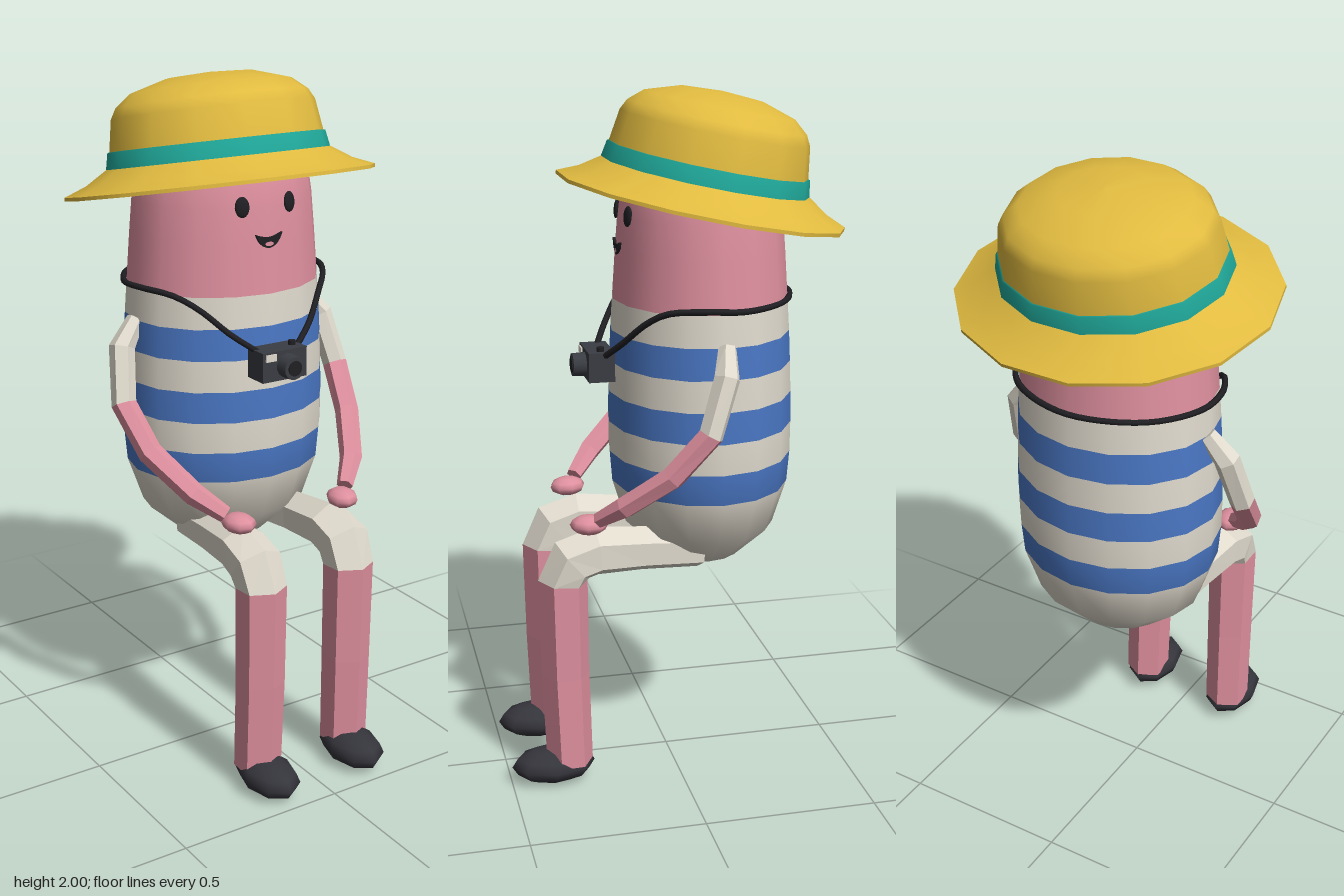
import * as THREE from 'three';

const mat = (name, color) => Object.assign(new THREE.MeshStandardMaterial({ color }), { name });
const skin = mat('pink skin', 0xdf909f);
const cloth = mat('off-white cloth', 0xe0dacd);
const blue = mat('blue stripe', 0x4a77c4);
const straw = mat('yellow straw', 0xe1bb40);
const teal = mat('teal ribbon', 0x1fa597);
const shoe = mat('dark shoe', 0x35353c);
const ink = mat('black', 0x202024);
const cameraGrey = mat('camera grey', 0x3a3d43);

const vec2 = (list) => list.map(([x, y]) => new THREE.Vector2(x, y));
const vec3 = (list) => list.map((p) => new THREE.Vector3(...p));

function add(parent, name, geometry, material, position = [0, 0, 0]) {
  const mesh = new THREE.Mesh(geometry, material);
  mesh.name = name;
  mesh.position.set(...position);
  parent.add(mesh);
  return mesh;
}

// Lathe with one material index per profile row
function bandedLathe(profile, rows, sides) {
  const g = new THREE.LatheGeometry(vec2(profile), sides);
  const old = g.index.array, n = profile.length - 1, index = [];
  for (let j = 0; j < n; j++) {
    g.addGroup(j * sides * 6, sides * 6, rows[j]);
    for (let i = 0; i < sides; i++) {
      const s = (i * n + j) * 6;
      index.push(...old.slice(s, s + 6));
    }
  }
  g.setIndex(index);
  return g;
}

// Faceted six-sided limb; rows before `split` use material 0, the rest material 1
function limbGeometry(path, radii, split) {
  const sides = 6, pts = vec3(path), last = pts.length - 1, pos = [], index = [];
  pts.forEach((p, i) => {
    const t = pts[Math.min(i + 1, last)].clone().sub(pts[Math.max(i - 1, 0)]).normalize();
    const u = new THREE.Vector3(1, 0, 0).addScaledVector(t, -t.x).normalize();
    const v = t.clone().cross(u);
    for (let k = 0; k < sides; k++) {
      const a = Math.PI / 2 + (k * Math.PI * 2) / sides;
      const q = p.clone().addScaledVector(u, radii[i] * Math.cos(a)).addScaledVector(v, radii[i] * Math.sin(a));
      pos.push(q.x, q.y, q.z);
    }
  });
  const start = pos.length / 3;
  pos.push(...path[0], ...path[last]);
  for (let k = 0; k < sides; k++) index.push(start, (k + 1) % sides, k);
  let splitAt = 0;
  for (let i = 0; i < last; i++) {
    if (i === split) splitAt = index.length;
    for (let k = 0; k < sides; k++) {
      const a = i * sides + k, b = i * sides + ((k + 1) % sides);
      index.push(a, b, b + sides, a, b + sides, a + sides);
    }
  }
  for (let k = 0; k < sides; k++) index.push(start + 1, last * sides + k, last * sides + ((k + 1) % sides));
  const g = new THREE.BufferGeometry();
  g.setAttribute('position', new THREE.Float32BufferAttribute(pos, 3));
  g.setIndex(index);
  const flat = g.toNonIndexed();
  flat.computeVertexNormals();
  flat.addGroup(0, splitAt, 0);
  flat.addGroup(splitAt, index.length - splitAt, 1);
  return flat;
}

function ellipsoid(x, y, z, w = 8, h = 6) {
  return new THREE.SphereGeometry(1, w, h).scale(x, y, z);
}

function createBody(model) {
  const profile = [[0, 0.61], [0.14, 0.645], [0.25, 0.74], [0.295, 0.87], [0.303, 0.96], [0.304, 1.05],
    [0.302, 1.14], [0.298, 1.23], [0.293, 1.32], [0.286, 1.41], [0.275, 1.55], [0.266, 1.65],
    [0.25, 1.75], [0.2, 1.85], [0, 1.89]];
  const rows = [0, 0, 0, 1, 0, 1, 0, 1, 0, 2, 2, 2, 2, 2];
  const body = add(model, 'body', bandedLathe(profile, rows, 16), [cloth, blue, skin], [0, 0, -0.097]);
  body.scale.z = 0.875;
}

function createFace(model) {
  const face = new THREE.Group();
  face.name = 'face';
  for (const s of [1, -1]) {
    const eye = add(face, 'eye', ellipsoid(0.021, 0.029, 0.008, 12, 8), ink, [s * 0.077, 1.655, 0.126]);
    eye.rotation.set(-0.1, s * 0.27, 0);
    const brow = add(face, 'eyebrow', new THREE.BoxGeometry(0.07, 0.012, 0.009), ink, [s * 0.07, 1.735, 0.116]);
    brow.rotation.set(0, s * 0.25, s * 0.22);
  }
  // Smiling mouth
  const smile = new THREE.Shape();
  smile.moveTo(-0.043, 1.578);
  smile.quadraticCurveTo(0, 1.558, 0.043, 1.578);
  smile.quadraticCurveTo(0.03, 1.54, 0, 1.537);
  smile.quadraticCurveTo(-0.03, 1.54, -0.043, 1.578);
  add(face, 'mouth', new THREE.ExtrudeGeometry(smile, { depth: 0.008, bevelEnabled: false }), ink, [0, 0, 0.137]);
  add(face, 'tongue', new THREE.CircleGeometry(0.009, 10).scale(1.6, 0.7, 1), skin, [0, 1.549, 0.146]);
  model.add(face);
}

function createHat(model) {
  const hat = new THREE.Group();
  hat.name = 'sunHat';
  const part = (name, profile, material) =>
    add(hat, name, new THREE.LatheGeometry(vec2(profile), 14, Math.PI / 14), material);
  part('brimUnderside', [[0.23, 0.055], [0.33, 0.045], [0.455, -0.005]], straw);
  part('brimEdge', [[0.455, -0.005], [0.455, 0.005]], straw);
  part('brimTop', [[0.455, 0.005], [0.39, 0.03], [0.325, 0.07]], straw);
  part('hatBand', [[0.328, 0.066], [0.318, 0.115], [0.308, 0.117]], teal);
  part('crown', [[0.313, 0.112], [0.297, 0.205], [0.28, 0.235], [0.235, 0.27], [0.13, 0.3], [0, 0.308]], straw);
  hat.position.set(0, 1.68, -0.1);
  hat.rotation.x = -0.2;
  hat.scale.z = 0.907;
  model.add(hat);
}

function createCamera(model) {
  const cam = new THREE.Group();
  cam.name = 'camera';
  add(cam, 'cameraBody', new THREE.BoxGeometry(0.145, 0.085, 0.075), cameraGrey, [-0.008, 1.227, 0.2]);
  add(cam, 'lensBarrel', new THREE.CylinderGeometry(0.033, 0.035, 0.04, 14).rotateX(Math.PI / 2), cameraGrey, [0, 1.225, 0.255]);
  add(cam, 'lensGlass', new THREE.CylinderGeometry(0.022, 0.022, 0.004, 14).rotateX(Math.PI / 2), ink, [0, 1.225, 0.276]);
  add(cam, 'flash', new THREE.BoxGeometry(0.034, 0.02, 0.006), cloth, [-0.055, 1.254, 0.239]);
  add(cam, 'shutterButton', new THREE.CylinderGeometry(0.011, 0.011, 0.014, 8), ink, [0.04, 1.275, 0.2]);
  // Neck strap, one closed run from side to side
  const half = [[0.066, 1.262, 0.19], [0.13, 1.31, 0.155], [0.2, 1.38, 0.1], [0.25, 1.415, 0.05],
    [0.297, 1.425, -0.05], [0.293, 1.42, -0.15], [0.2, 1.42, -0.285]];
  const other = half.map(([x, y, z]) => [-x, y, z]).reverse();
  const curve = new THREE.CatmullRomCurve3(vec3([...half, [0, 1.42, -0.355], ...other]));
  add(cam, 'strap', new THREE.TubeGeometry(curve, 56, 0.009, 6), ink);
  model.add(cam);
}

function createLimbs(model, s) {
  const side = s > 0 ? 'left' : 'right';
  const mirror = (path) => path.map(([x, y, z]) => [s * x, y, z]);
  // Arm with short sleeve
  const arm = [[0.285, 1.32, -0.105], [0.34, 1.25, -0.09], [0.365, 1.1, -0.04], [0.34, 0.98, 0.06],
    [0.27, 0.88, 0.18], [0.205, 0.825, 0.24]];
  add(model, side + 'Arm', limbGeometry(mirror(arm), [0.026, 0.037, 0.036, 0.035, 0.033, 0.024], 2), [cloth, skin]);
  const hand = add(model, side + 'Hand', ellipsoid(0.045, 0.028, 0.054), skin, [s * 0.177, 0.803, 0.265]);
  hand.rotation.y = -s * 0.2;
  // Bent leg with shorts
  const leg = [[0.125, 0.69, -0.07], [0.14, 0.705, 0.1], [0.15, 0.712, 0.24], [0.152, 0.69, 0.31],
    [0.15, 0.63, 0.338], [0.15, 0.34, 0.335], [0.153, 0.06, 0.327]];
  add(model, side + 'Leg', limbGeometry(mirror(leg), [0.062, 0.066, 0.073, 0.076, 0.072, 0.07, 0.068], 4), [cloth, skin]);
  add(model, side + 'Shoe', ellipsoid(0.077, 0.052, 0.123), shoe, [s * 0.15, 0.052, 0.376]);
}

export function createModel() {
  const model = new THREE.Group();
  model.name = 'seatedTourist';
  createBody(model);
  createFace(model);
  createHat(model);
  createCamera(model);
  for (const s of [1, -1]) createLimbs(model, s);
  return model;
}
